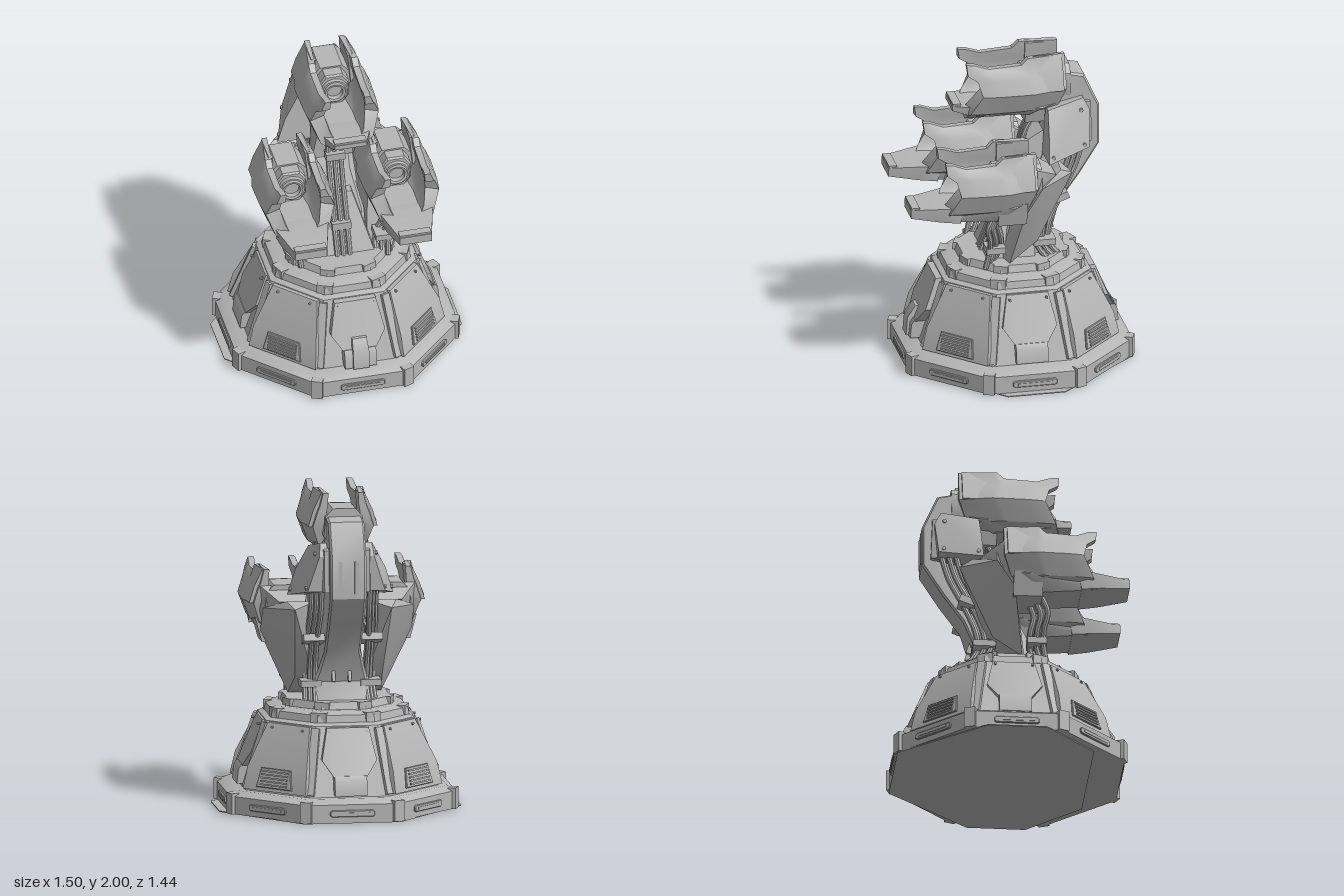
import * as THREE from 'three';
import { toCreasedNormals } from 'three/addons/utils/BufferGeometryUtils.js';
import { ConvexGeometry } from 'three/addons/geometries/ConvexGeometry.js';

const metal = new THREE.MeshStandardMaterial({ color: 0xb6b6b6 });
const V = (x, y, z) => new THREE.Vector3(x, y, z);
const OCT = Math.cos(Math.PI / 8);

function add(parent, name, geo, x = 0, y = 0, z = 0) {
  const mesh = new THREE.Mesh(toCreasedNormals(geo, 0.55), metal);
  mesh.name = name;
  mesh.position.set(x, y, z);
  parent.add(mesh);
  return mesh;
}
function group(parent, name) {
  const g = new THREE.Group();
  g.name = name;
  parent.add(g);
  return g;
}
const box = (w, h, d) => new THREE.BoxGeometry(w, h, d);
const hull = (pts) => new ConvexGeometry(pts.map((p) => V(...p)));
// Convex solid symmetrical about x = 0
const symHull = (pts) => hull(pts.flatMap(([x, y, z]) => [[x, y, z], [-x, y, z]]));
const tube = (pts, r) => new THREE.TubeGeometry(new THREE.CatmullRomCurve3(pts.map((p) => V(...p))), 24, r, 8);
// Octagonal ring section, sized by the distance from centre to flat side
function octagon(top, bottom, h) {
  return new THREE.CylinderGeometry(top / OCT, bottom / OCT, h, 8).rotateY(Math.PI / 8);
}
// Bevelled flat panel facing +z
function panel(pts, depth, bevel = 0.008) {
  const shape = new THREE.Shape(pts.map((p) => new THREE.Vector2(...p)));
  return new THREE.ExtrudeGeometry(shape, { depth, bevelSize: bevel, bevelThickness: bevel, bevelSegments: 1 });
}
const mirrored = (half) => [...half, ...half.slice().reverse().map(([x, y]) => [-x, y])];

function buildBase(root) {
  const base = group(root, 'base');
  // Floor plate
  const outline = mirrored([[0.42, 0.5], [0.75, 0.18], [0.75, -0.18], [0.3, -0.7]]);
  const floor = new THREE.Shape(outline.map(([x, z]) => new THREE.Vector2(x, -z)));
  add(base, 'floorPlate', new THREE.ExtrudeGeometry(floor, { depth: 0.006, bevelEnabled: false }).rotateX(-Math.PI / 2));
  add(base, 'footRing', octagon(0.7, 0.7, 0.11), 0, 0.061, 0);
  add(base, 'footRingBevel', octagon(0.65, 0.7, 0.03), 0, 0.131, 0);
  add(base, 'skirtCore', octagon(0.46, 0.6, 0.42), 0, 0.355, 0);
  add(base, 'skirtTop', octagon(0.42, 0.46, 0.02), 0, 0.575, 0);
  add(base, 'lowerCollar', octagon(0.42, 0.43, 0.05), 0, 0.6, 0);
  add(base, 'lowerCollarBevel', octagon(0.37, 0.42, 0.02), 0, 0.635, 0);
  add(base, 'upperCollar', octagon(0.32, 0.34, 0.06), 0, 0.66, 0);

  for (let i = 0; i < 8; i++) {
    const side = group(base, 'baseSide');
    side.rotation.y = (i * Math.PI) / 4;
    // Slot plate on the foot ring
    add(side, 'slotPlate', panel(mirrored([[0.125, 0.078], [0.135, 0.07], [0.135, 0.052], [0.125, 0.045]]), 0.008, 0.004), 0, 0, 0.7);
    add(side, 'slotBar', box(0.22, 0.012, 0.008), 0, 0.062, 0.712);
    const boltZ = i % 2 ? 0.498 : 0.5;
    if (i % 2 === 0) {
      // Hexagonal armour with a narrow upright toe
      const out = i % 4 === 0 ? 0.025 : 0;
      add(side, 'hexArmour', symHull([[0.13, 0.56, 0.475 + out], [0.17, 0.37, 0.55 + out], [0.1, 0.27, 0.6 + out], [0.13, 0.56, 0.42], [0.17, 0.37, 0.5], [0.1, 0.27, 0.52]]));
      add(side, 'toe', symHull([[0.1, 0.28, 0.6 + out], [0.1, 0.25, 0.62 + out], [0.1, 0.16, 0.63 + out], [0.1, 0.16, 0.56], [0.1, 0.28, 0.52]]));
      if (i === 0) add(side, 'hatch', symHull([[0.05, 0.16, 0.67], [0.05, 0.28, 0.66], [0.045, 0.35, 0.61], [0.05, 0.16, 0.56], [0.05, 0.35, 0.5]]));
    } else {
      // Wide armour with a louvred vent on its lower face
      add(side, 'ventArmour', symHull([[0.16, 0.56, 0.485], [0.225, 0.3, 0.605], [0.24, 0.16, 0.635], [0.16, 0.56, 0.42], [0.24, 0.16, 0.56]]));
      const vent = group(side, 'vent');
      vent.position.set(0, 0.17, 0.637);
      vent.rotation.x = -0.21;
      add(vent, 'ventFrame', panel(mirrored([[0.11, 0.13], [0.13, 0.015]]), 0.006, 0.004));
      for (let k = 0; k < 5; k++) add(vent, 'ventSlat', box(0.2, 0.01, 0.012), 0, 0.03 + k * 0.021, 0.014);
    }
    for (const s of [-1, 1]) {
      add(side, 'bolt', new THREE.CylinderGeometry(0.008, 0.008, 0.02, 8).rotateX(Math.PI / 2), s * 0.115, 0.535, boltZ);
    }
    // Corner pieces
    const corner = group(base, 'baseCorner');
    corner.rotation.y = ((i + 0.5) * Math.PI) / 4;
    add(corner, 'cornerPost', box(0.07, 0.13, 0.05), 0, 0.071, 0.74);
    add(corner, 'cornerRib', box(0.05, 0.42, 0.03), 0, 0.355, 0.575).rotation.x = -0.345;
    add(corner, 'collarLug', box(0.1, 0.06, 0.06), 0, 0.61, 0.42);
    add(corner, 'upperCollarLug', box(0.09, 0.06, 0.05), 0, 0.66, 0.33);
  }
}

// Open U-shaped cradle lofted from back to front
function cradleGeometry(length) {
  // x, y, rear z, front z
  const outer = [[0.155, 0.21, 0, 0.62], [0.18, 0.13, 0, 0.615], [0.2, 0.09, 0, 0.555], [0.235, 0, 0, 0.53], [0.18, -0.13, 0.05, 0.6], [0.1, -0.18, 0.2, 0.62]];
  const inner = [[0.115, 0.21, 0, 0.62], [0.12, 0.13, 0, 0.61], [0.13, 0.09, 0, 0.55], [0.14, 0.03, 0, 0.53], [0.115, -0.06, 0.05, 0.6], [0.09, -0.1, 0.2, 0.62]];
  const flip = (rows) => rows.slice().reverse().map(([x, ...rest]) => [-x, ...rest]);
  const ring = [...outer, ...flip(outer), ...inner.map(([x, ...r]) => [-x, ...r]), ...inner.slice().reverse()];
  // position, top edge shift, width
  const stations = [[0, 0, 0.8], [0.38, 0, 1], [0.45, -0.04, 1], [0.78, -0.05, 0.98], [0.92, -0.02, 0.95], [1, -0.015, 0.92]];
  const pos = [], index = [], n = ring.length;
  for (const [t, shift, w] of stations) {
    for (const [x, y, a, b] of ring) pos.push(x * w, y + (y > 0.2 ? shift : 0), (a + (b - a) * t) * length);
  }
  for (let s = 0; s < stations.length - 1; s++) {
    for (let k = 0; k < n; k++) {
      const a = s * n + k, a1 = s * n + ((k + 1) % n), b = a + n, b1 = a1 + n;
      index.push(a, b, a1, a1, b, b1);
    }
  }
  const f = (stations.length - 1) * n;
  for (let k = 0; k < n / 2 - 1; k++) {
    const p = k, q = n - 1 - k, r = n - 2 - k, t = k + 1;
    index.push(f + p, f + q, f + r, f + p, f + r, f + t, p, r, q, p, t, r);
  }
  const geo = new THREE.BufferGeometry();
  geo.setAttribute('position', new THREE.Float32BufferAttribute(pos, 3));
  geo.setIndex(index);
  return geo;
}

function buildPod(root, name, [x, y, z], { length, lipEnd, lipDrop, blockWidth }) {
  const pod = group(root, name);
  pod.position.set(x, y, z);
  add(pod, 'cradle', cradleGeometry(length));
  // Front lip and underside
  const lipTop = -0.09 - lipDrop * 0.4;
  add(pod, 'lip', symHull([[0.15, -0.1, 0.46], [0.15, -0.16 - lipDrop, 0.48], [0.165, -0.09, 0.54], [0.14, -0.145 - lipDrop, 0.6],
    [0.115, lipTop, lipEnd - 0.08], [0.1, lipTop, lipEnd], [0.1, -0.12 - lipDrop, lipEnd]]));
  add(pod, 'lipEdge', box(0.2, 0.025, 0.05), 0, lipTop, lipEnd - 0.03);
  add(pod, 'keel', symHull([[0.16, -0.1, 0.06], [0.18, -0.12, 0.15], [0.13, -0.15 - lipDrop, 0.58], [0.12, -0.18 - lipDrop, 0.22], [0.15, -0.1, 0.5]]));
  add(pod, 'rearBlock', symHull([0.06, 0.24].flatMap((d) => [[blockWidth + 0.04, -0.1, d], [blockWidth, -0.25, d]])));
  // Emitter hub
  const hubSection = mirrored([[0.07, 0.12], [0.115, 0.07], [0.125, -0.05], [0.08, -0.14]]);
  add(pod, 'hubBlock', hull([-0.04, 0.18].flatMap((d) => hubSection.map(([a, b]) => [a, b, d]))));
  add(pod, 'hubCap', panel(mirrored([[0.05, 0.1], [0.085, 0.05], [0.085, -0.05], [0.05, -0.1]]), 0.08, 0.01), 0, 0, 0.17);
  const barrel = [[0.085, -0.06], [0.085, 0.02], [0.08, 0.035], [0.07, 0.035], [0.065, 0.05], [0.05, 0.045], [0.045, 0], [0, 0]];
  add(pod, 'emitter', new THREE.LatheGeometry(barrel.map((p) => new THREE.Vector2(...p)), 24).rotateX(Math.PI / 2), 0, 0, 0.245);
  // Armour straps on the walls
  for (const s of [-1, 1]) {
    add(pod, 'wallStrap', hull([0.02, 0.2].flatMap((d) => [[s * 0.13, 0.215, d], [s * 0.1, 0.2, d], [s * 0.185, 0.1, d], [s * 0.215, 0, d], [s * 0.12, 0, d]])));
  }
}

function buildColumn(root) {
  const column = group(root, 'column');
  // Curved back spine, profile as z and y, widened at the foot
  const profile = [[0.12, 0.67], [0.03, 0.9], [-0.07, 1.15], [-0.17, 1.35], [-0.27, 1.55], [-0.3, 1.82], [-0.34, 1.84], [-0.43, 1.82],
    [-0.52, 1.62], [-0.52, 1.37], [-0.4, 1.18], [-0.27, 1], [-0.2, 0.8], [-0.25, 0.67]];
  const spine = panel(profile, 0.2, 0.012).rotateY(-Math.PI / 2).translate(0.1, 0, 0);
  const p = spine.attributes.position;
  for (let i = 0; i < p.count; i++) if (p.getY(i) < 0.95) p.setX(i, p.getX(i) * 1.5);
  add(column, 'spine', spine);
  add(column, 'frontPlate', symHull([[0.2, 0.67, 0.2], [0.09, 1.05, 0.04], [0.22, 0.67, -0.1], [0.1, 1.05, -0.15]]));
  add(column, 'headBlock', box(0.2, 0.2, 0.1), 0, 1.73, -0.33);
  add(column, 'headCover', symHull([[0.16, 1.68, -0.34], [0.16, 1.4, -0.4], [0.14, 1.66, -0.47], [0.14, 1.4, -0.48], [0.14, 1.35, -0.2], [0.14, 1.6, -0.22]]));
  add(column, 'neckBracket', symHull([[0.1, 1.42, -0.08], [0.1, 1.48, -0.18], [0.13, 1.3, -0.22], [0.13, 1.24, -0.09]]));
  for (const x of [-0.05, 0.05]) {
    add(column, 'spineVent', box(0.025, 0.2, 0.01), x, 1.5, -0.533);
    add(column, 'spineRib', box(0.02, 0.12, 0.03), x, 0.86, -0.225).rotation.x = 0.3;
  }
  // Front cable bundle
  for (const x of [-0.04, 0, 0.04]) {
    add(column, 'frontCable', tube([[x, 1.58, -0.15], [x, 1.46, -0.08], [x, 1.2, -0.02], [x, 0.87, 0.12], [x, 0.68, 0.2]], 0.016));
  }
  add(column, 'cableClamp', box(0.12, 0.05, 0.06), 0, 1.29, -0.035);
  add(column, 'cableClamp', box(0.12, 0.05, 0.06), 0, 0.87, 0.12);

  for (const s of [-1, 1]) {
    const half = group(column, s > 0 ? 'leftSupport' : 'rightSupport');
    const sideHull = (pts) => hull(pts.map(([x, y, z]) => [s * x, y, z]));
    // Flared cheek plate with bolts
    const cheek = [[0.2, 1.65, -0.19], [0.16, 1.7, -0.42], [0.17, 1.62, -0.46], [0.24, 1.4, -0.44], [0.33, 1.34, -0.17], [0.28, 1.5, -0.18]];
    add(half, 'cheek', sideHull(cheek.flatMap(([x, y, z]) => [[x, y, z], [0.12, y, z]])));
    for (const [x, y, z] of [[0.185, 1.63, -0.4], [0.24, 1.42, -0.41], [0.31, 1.38, -0.2]]) {
      add(half, 'cheekBolt', new THREE.CylinderGeometry(0.012, 0.012, 0.025, 8).rotateZ(Math.PI / 2), s * x, y, z);
    }
    // Arm carrying the lower pod
    add(half, 'arm', sideHull([[0.29, 0.69, 0.07], [0.17, 0.68, 0.1], [0.27, 0.82, -0.11], [0.14, 0.75, -0.1], [0.47, 1.08, 0.01],
      [0.3, 1.27, -0.32], [0.34, 1.31, -0.24], [0.47, 1.25, -0.1], [0.16, 1.31, -0.25], [0.2, 1.1, 0]]));
    add(half, 'shoulder', sideHull([[0.48, 1.38, -0.06], [0.18, 1.38, -0.06], [0.18, 1.06, 0.04], [0.46, 1.06, 0.04], [0.38, 1.3, -0.2],
      [0.22, 1.3, -0.2], [0.5, 1.2, 0], [0.2, 1.2, 0.02]]));
    for (let k = 0; k < 3; k++) {
      const d = k * 0.04, x = 0.15 + k * 0.025;
      // Rear cables
      add(half, 'rearCable', tube([[s * x, 1.42, -0.42 + d], [s * x, 1.25, -0.37 + d], [s * (x + 0.01), 1.07, -0.28 + d], [s * (x + 0.01), 0.87, -0.2 + d],
        [s * (x + 0.01), 0.76, -0.2 + d], [s * (x + 0.02), 0.64, -0.29 + d]], 0.018));
      // Cables under the lower pod
      add(half, 'podCable', tube([[s * (0.29 + d), 1.06, 0.1 + d], [s * (0.28 + d), 0.96, 0.14 + d], [s * (0.26 + d * 0.8), 0.86, 0.12 + d],
        [s * (0.22 + d * 0.8), 0.76, 0.12 + d], [s * (0.21 + d * 0.8), 0.66, 0.18 + d * 0.5]], 0.018));
    }
    add(half, 'rearClamp', box(0.13, 0.045, 0.15), s * 0.18, 1.07, -0.24).rotation.x = 0.35;
    add(half, 'rearClamp', box(0.13, 0.04, 0.14), s * 0.185, 0.79, -0.16);
    add(half, 'podClamp', box(0.12, 0.04, 0.12), s * 0.26, 0.79, 0.16);
  }
}

export function createModel() {
  const root = new THREE.Group();
  root.name = 'turret';
  buildBase(root);
  buildColumn(root);
  buildPod(root, 'topPod', [0, 1.78, -0.31], { length: 1, lipEnd: 0.7, lipDrop: 0, blockWidth: 0.08 });
  for (const s of [-1, 1]) {
    buildPod(root, s > 0 ? 'leftPod' : 'rightPod', [s * 0.33, 1.27, -0.06], { length: 0.92, lipEnd: 0.78, lipDrop: 0.04, blockWidth: 0.13 });
  }
  return root;
}
